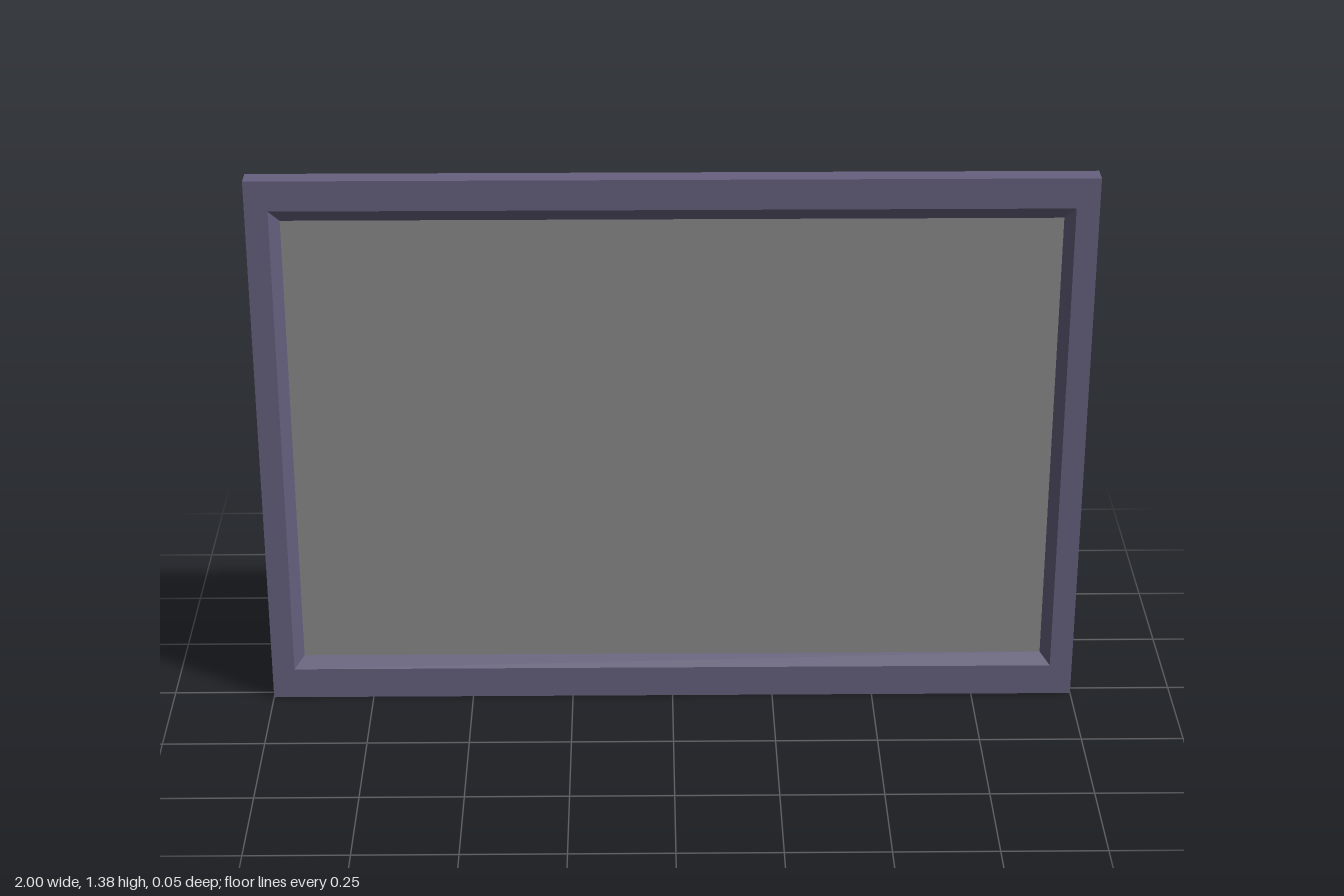
import * as THREE from 'three';

// Rectangular loop, anticlockwise seen from the front
const loop = (x, y0, y1, z) => [[-x, y0, z], [x, y0, z], [x, y1, z], [-x, y1, z]];

function geometryFromQuads(quads) {
  const positions = [];
  for (const [a, b, c, d] of quads) positions.push(...a, ...b, ...c, ...a, ...c, ...d);
  const geometry = new THREE.BufferGeometry();
  geometry.setAttribute('position', new THREE.Float32BufferAttribute(positions, 3));
  geometry.computeVertexNormals();
  return geometry;
}

export function createModel() {
  const group = new THREE.Group();
  const framePurple = new THREE.MeshStandardMaterial({ color: 0x67617f });
  framePurple.name = 'framePurple';
  const panelGrey = new THREE.MeshStandardMaterial({ color: 0x8c8c8c });
  panelGrey.name = 'panelGrey';

  // Loops run from the back edge, around the front rim, down the inner bevel
  const loops = [
    loop(1, 0, 1.38, -0.025),
    loop(1, 0, 1.38, 0.025),
    loop(0.945, 0.08, 1.305, 0.025),
    loop(0.92, 0.11, 1.275, 0.007),
  ];
  const quads = [[...loops[0]].reverse()]; // flat back
  for (let i = 0; i < loops.length - 1; i++) {
    for (let k = 0; k < 4; k++) {
      const n = (k + 1) % 4;
      quads.push([loops[i][k], loops[i][n], loops[i + 1][n], loops[i + 1][k]]);
    }
  }
  const frame = new THREE.Mesh(geometryFromQuads(quads), framePurple);
  frame.name = 'frame';

  // Recessed panel closing the front
  const panel = new THREE.Mesh(geometryFromQuads([loops[3]]), panelGrey);
  panel.name = 'recessedPanel';

  group.add(frame, panel);
  return group;
}
